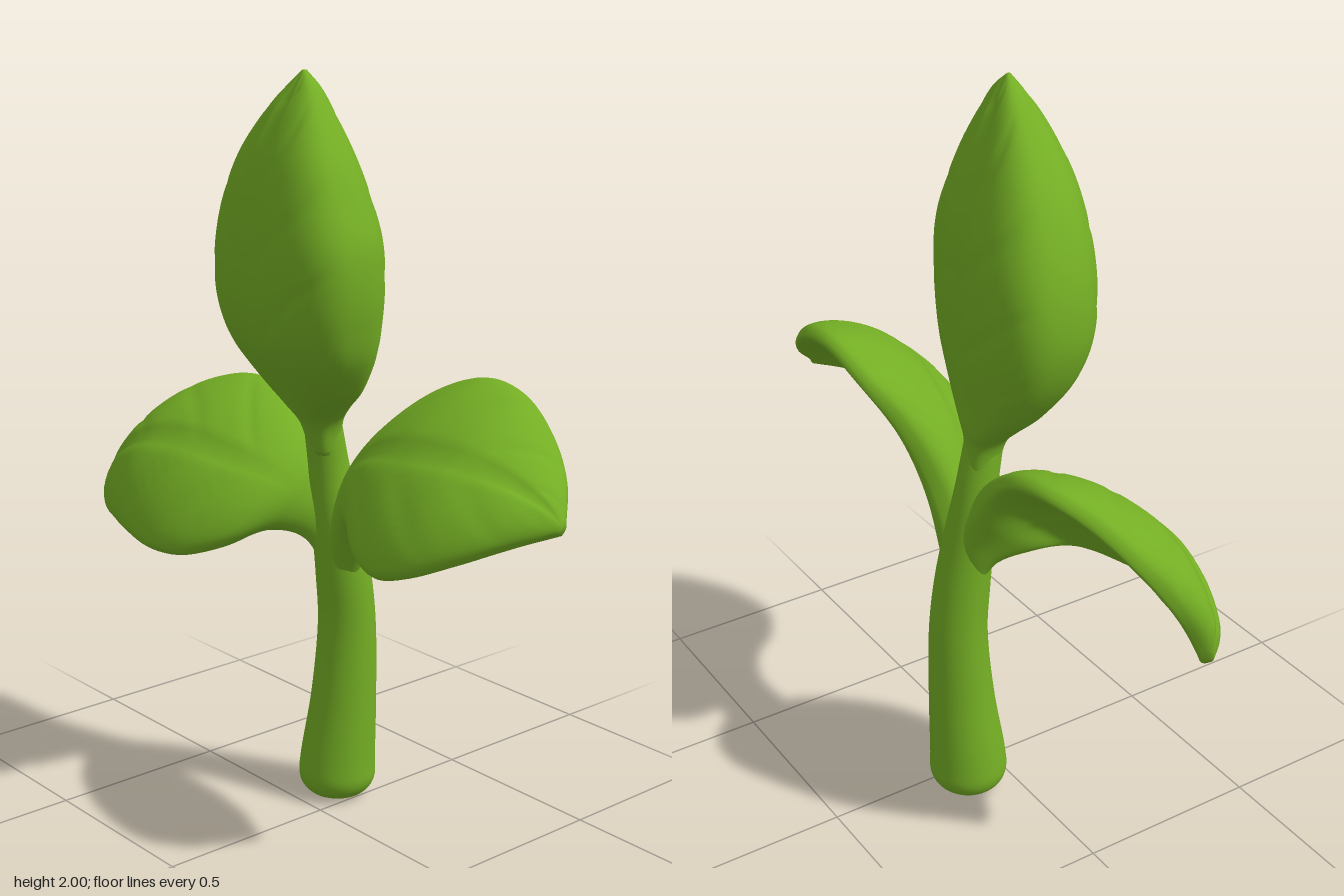
import * as THREE from 'three';

const leafGreen = new THREE.MeshStandardMaterial({ color: 0x74ae24 });
leafGreen.name = 'leaf green';

const SIDES = 56;

// Skin a list of closed rings, closing both ends at their centres
function loft(rings, flip) {
  const centre = (ring) => ring.reduce((s, p) => s.add(p), new THREE.Vector3()).divideScalar(ring.length);
  const collapse = (ring) => ring.map(() => centre(ring));
  const all = [collapse(rings[0]), ...rings, collapse(rings[rings.length - 1])];
  const pos = [], idx = [], n = rings[0].length;
  all.forEach((ring) => ring.forEach((p) => pos.push(p.x, p.y, p.z)));
  for (let i = 0; i < all.length - 1; i++) {
    for (let j = 0; j < n; j++) {
      const a = i * n + j, b = i * n + (j + 1) % n, c = a + n, d = b + n;
      if (flip) idx.push(a, b, c, b, d, c);
      else idx.push(a, c, b, b, c, d);
    }
  }
  const geo = new THREE.BufferGeometry();
  geo.setAttribute('position', new THREE.Float32BufferAttribute(pos, 3));
  geo.setIndex(idx);
  geo.computeVertexNormals();
  return geo;
}

const curve = (rows) => new THREE.CatmullRomCurve3(rows.map((r) => new THREE.Vector3(...r)), false, 'centripetal');
const power = (x, e) => Math.sign(x) * Math.abs(x) ** e;

// Depth of the midrib groove and slanting side veins; v runs -1..1 across, u 0..1 along
function veins(u, v) {
  const mask = THREE.MathUtils.smoothstep(u, 0.25, 0.45) * (1 - THREE.MathUtils.smoothstep(u, 0.85, 1));
  const rib = Math.exp(-((v / 0.07) ** 2));
  const a = Math.abs(v);
  const side = Math.max(0, Math.cos((u * 6 - a * 1.3) * Math.PI * 2)) ** 6 * a * (1 - a) * 2;
  return mask * (0.014 * rib + 0.01 * side);
}

// Upright body from rows of [y, centre x, centre z, radius x, radius z];
// a roundness below 1 makes the section squarer
function upright(rows, steps, { shear = 0, roundness = 1, veined = false } = {}) {
  const centres = rows.map(([y, x, z]) => new THREE.Vector3(x, y, z));
  const radii = rows.map((r) => new THREE.Vector3(r[3], r[4], 0));
  const path = new THREE.CatmullRomCurve3(centres, false, 'catmullrom', 0.5);
  const size = new THREE.CatmullRomCurve3(radii, false, 'catmullrom', 0.5);
  const rings = [];
  for (let i = 0; i <= steps; i++) {
    const t = i / steps, c = path.getPoint(t), r = size.getPoint(t);
    const ring = [];
    for (let j = 0; j < SIDES; j++) {
      const a = (j / SIDES) * Math.PI * 2;
      const s = power(Math.sin(a), roundness), v = power(Math.cos(a), roundness);
      const x = Math.max(r.x, 0.003) * v;
      const depth = veined ? Math.sign(s) * veins(t, v) : 0;
      ring.push(new THREE.Vector3(c.x + x, c.y, c.z + Math.max(r.y, 0.003) * s + shear * x - depth));
    }
    rings.push(ring);
  }
  return loft(rings, false);
}

// Arched leaf with its stalk, spanned between a back edge and a front edge
function sideLeaf(back, front, bulge, thick) {
  const B = curve(back), F = curve(front), steps = 72;
  const shape = new THREE.CatmullRomCurve3(bulge.map((b, i) => new THREE.Vector3(b, thick[i], 0)));
  const mid = (t) => B.getPoint(t).add(F.getPoint(t)).multiplyScalar(0.5);
  const rings = [];
  let flip = false;
  for (let i = 0; i <= steps; i++) {
    const t = i / steps, m = mid(t), s = shape.getPoint(t);
    const along = mid(Math.min(1, t + 0.01)).sub(mid(Math.max(0, t - 0.01)));
    const half = F.getPoint(t).sub(B.getPoint(t)).multiplyScalar(0.5);
    const normal = along.cross(half).normalize();
    if (normal.y + normal.z < 0) {
      normal.negate();
      flip = true;
    }
    const ring = [];
    for (let j = 0; j < SIDES; j++) {
      const a = (j / SIDES) * Math.PI * 2, v = -Math.cos(a), w = Math.sin(a);
      const rise = s.x * (1 - v * v) + power(w, 0.65) * s.y / 2 - veins(t, v) * (w > 0 ? 1 : 0.5);
      ring.push(m.clone().addScaledVector(half, v).addScaledVector(normal, rise));
    }
    rings.push(ring);
  }
  return loft(rings, flip);
}

export function createModel() {
  const model = new THREE.Group();
  model.name = 'sprout';
  const add = (name, geo) => {
    const mesh = new THREE.Mesh(geo, leafGreen);
    mesh.name = name;
    model.add(mesh);
  };

  // Curved stem with a rounded foot
  add('stem', upright([
    [0, -0.065, -0.117, 0.04, 0.04],
    [0.012, -0.065, -0.117, 0.078, 0.078],
    [0.05, -0.065, -0.117, 0.104, 0.104],
    [0.12, -0.063, -0.118, 0.103, 0.103],
    [0.3, -0.051, -0.128, 0.09, 0.089],
    [0.5, -0.045, -0.133, 0.081, 0.078],
    [0.65, -0.045, -0.12, 0.077, 0.074],
    [0.8, -0.05, -0.1, 0.07, 0.066],
    [0.95, -0.06, -0.082, 0.055, 0.056],
    [1.1, -0.06, -0.055, 0.05, 0.05],
  ], 60));

  // Plump upright leaf
  add('topLeaf', upright([
    [1.0, -0.06, -0.07, 0.045, 0.045],
    [1.08, -0.06, -0.055, 0.06, 0.058],
    [1.13, -0.06, -0.04, 0.105, 0.08],
    [1.2, -0.05, -0.012, 0.19, 0.11],
    [1.3, -0.045, 0.02, 0.265, 0.152],
    [1.4, -0.045, 0.035, 0.3, 0.173],
    [1.5, -0.04, 0.041, 0.31, 0.177],
    [1.6, -0.033, 0.045, 0.298, 0.171],
    [1.7, -0.03, 0.05, 0.26, 0.15],
    [1.8, -0.022, 0.055, 0.203, 0.118],
    [1.9, -0.01, 0.055, 0.12, 0.072],
    [1.96, 0, 0.052, 0.06, 0.036],
    [2.0, 0, 0.05, 0.006, 0.006],
  ], 80, { shear: 0.2, roundness: 0.82, veined: true }));

  const thick = [0.05, 0.11, 0.12, 0.11, 0.1, 0.1, 0.1, 0.09, 0.075, 0.035];
  const bulge = [0, 0, 0.01, 0.03, 0.05, 0.058, 0.056, 0.045, 0.025, 0];

  // Higher leaf reaching to the left
  add('leftLeaf', sideLeaf([
    [-0.07, 0.6, -0.13], [-0.03, 0.81, -0.14], [0.045, 0.96, -0.16], [0.12, 1.08, -0.2], [0.21, 1.18, -0.255],
    [0.35, 1.235, -0.275], [0.48, 1.215, -0.27], [0.6, 1.14, -0.24], [0.69, 1.06, -0.19], [0.755, 0.985, -0.12],
  ], [
    [-0.02, 0.57, -0.1], [0.04, 0.74, -0.06], [0.1, 0.83, -0.02], [0.18, 0.855, 0.04], [0.28, 0.83, 0.12],
    [0.39, 0.82, 0.16], [0.5, 0.85, 0.15], [0.61, 0.9, 0.09], [0.69, 0.94, 0.01], [0.755, 0.965, -0.1],
  ], bulge, thick));

  // Lower, drooping leaf reaching to the right
  add('rightLeaf', sideLeaf([
    [-0.02, 0.6, -0.13], [-0.06, 0.83, -0.13], [-0.13, 0.94, -0.13], [-0.21, 1.03, -0.13], [-0.31, 1.1, -0.14],
    [-0.43, 1.125, -0.13], [-0.555, 1.09, -0.08], [-0.66, 1.01, -0.02], [-0.72, 0.89, 0.06], [-0.745, 0.74, 0.13],
  ], [
    [-0.07, 0.57, -0.1], [-0.11, 0.74, -0.05], [-0.15, 0.78, 0.04], [-0.18, 0.76, 0.17], [-0.28, 0.725, 0.25],
    [-0.39, 0.72, 0.275], [-0.51, 0.73, 0.26], [-0.62, 0.73, 0.22], [-0.7, 0.72, 0.18], [-0.745, 0.715, 0.145],
  ], bulge, thick));

  return model;
}
